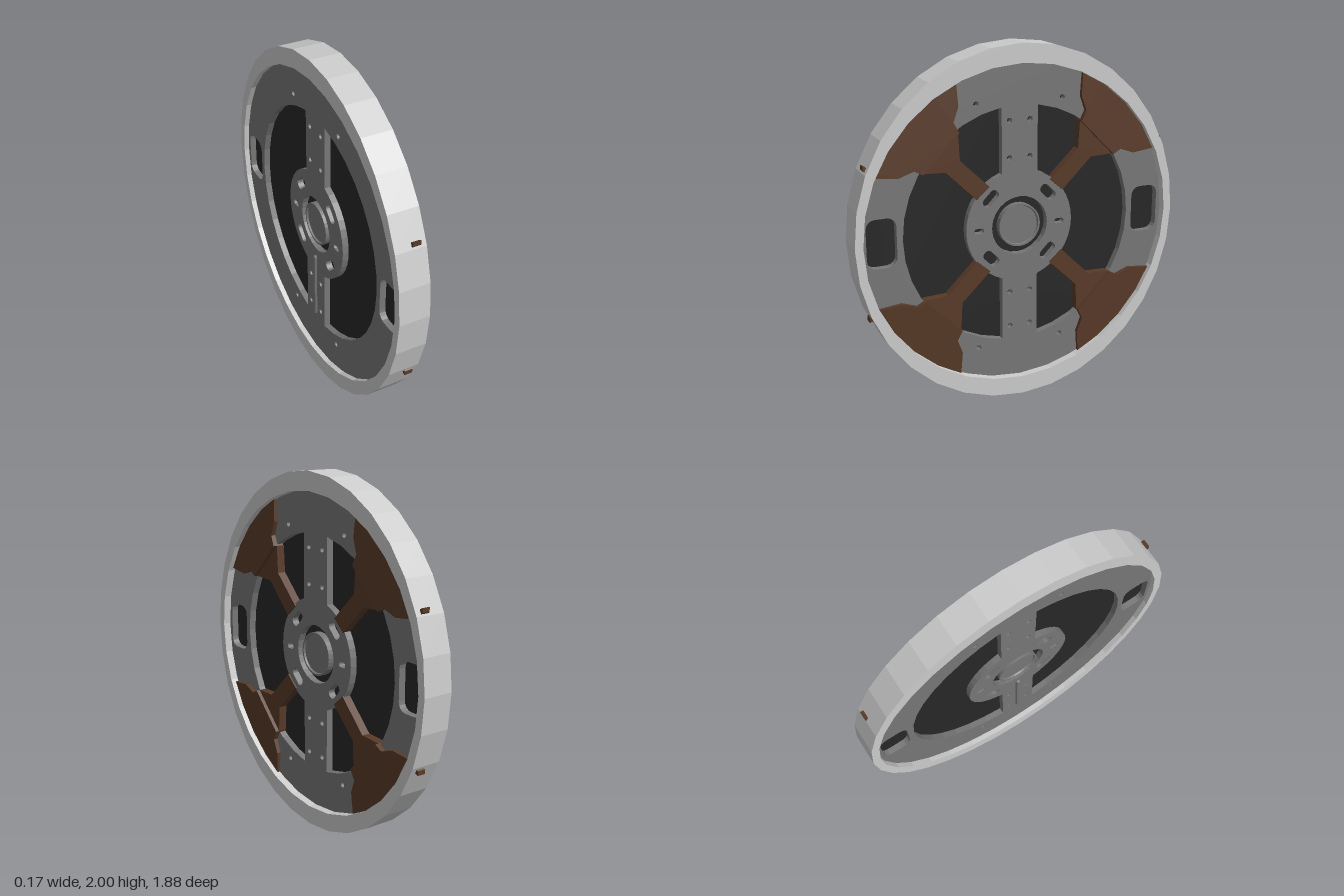
import * as THREE from 'three';

const grey = (color) => new THREE.MeshStandardMaterial({ color, flatShading: true });
const rimMat = grey(0xcccccc), plateMat = grey(0x777777), darkMat = grey(0x272727), brownMat = grey(0x583a28);
const PLATE_FRONT = 0.04, PLATE_BACK = -0.06;

// Extrude a wheel-plane outline between two positions along the axle.
function slab(shape, back, front, segments = 12) {
  const geo = new THREE.ExtrudeGeometry(shape, { depth: front - back, bevelEnabled: false, curveSegments: segments });
  return geo.translate(0, 0, back);
}

function circle(r, cx = 0, cy = 0, Type = THREE.Path) {
  return new Type().absarc(cx, cy, r, 0, Math.PI * 2, false);
}

// Rounded rectangle outline, turned about its own centre.
function roundedSlot(cx, cy, w, h, r, turn = 0) {
  const pts = [];
  const corners = [[1, 1], [-1, 1], [-1, -1], [1, -1]];
  corners.forEach(([sx, sy], i) => {
    for (let k = 0; k <= 4; k++) {
      const a = (i + k / 4) * Math.PI / 2;
      const p = new THREE.Vector2(sx * (w / 2 - r) + r * Math.cos(a), sy * (h / 2 - r) + r * Math.sin(a));
      pts.push(p.rotateAround(new THREE.Vector2(), turn).add(new THREE.Vector2(cx, cy)));
    }
  });
  return new THREE.Path(pts);
}

// D-shaped window between the spoke, the hub and the outer band.
function windowHole(side) {
  const outer = Math.acos(0.105 / 0.67), inner = Math.acos(0.105 / 0.315);
  const pts = [];
  for (let i = 0; i <= 16; i++) {
    const a = outer * (1 - i / 8);
    pts.push(new THREE.Vector2(side * 0.67 * Math.cos(a), 0.67 * Math.sin(a)));
  }
  for (let i = 0; i <= 16; i++) {
    const a = inner * (i / 8 - 1);
    pts.push(new THREE.Vector2(side * 0.315 * Math.cos(a), 0.315 * Math.sin(a)));
  }
  return new THREE.Path(pts);
}

function plateShape() {
  const shape = circle(0.9, 0, 0, THREE.Shape);
  shape.holes.push(circle(0.165));
  for (const s of [1, -1]) {
    shape.holes.push(windowHole(s));
    shape.holes.push(roundedSlot(s * 0.785, 0, 0.165, 0.27, 0.05));
    shape.holes.push(roundedSlot(s * 0.24, -0.005, 0.055, 0.03, 0.014));
    for (const t of [1, -1]) {
      shape.holes.push(roundedSlot(s * 0.17, t * 0.17, 0.105, 0.055, 0.022, -s * t * Math.PI / 4));
      shape.holes.push(circle(0.015, s * 0.06, t * 0.385));
      shape.holes.push(circle(0.015, s * 0.06, t * 0.588));
      shape.holes.push(circle(0.015, s * 0.25, t * 0.69));
    }
  }
  return shape;
}

const outline = (pts, sx, sy) => new THREE.Shape(pts.map(([x, y]) => new THREE.Vector2(sx * x, sy * y)));

const ARM = [[0.356, 0.553], [0.56, 0.35], [0.428, 0.345], [0.255, 0.175], [0.18, 0.24], [0.347, 0.4]];

// Corner pad: notched inner edge, arc along the rim, small tip through the rim.
function padPoints() {
  const pts = [[0.356, 0.553], [0.385, 0.61], [0.356, 0.69], [0.365, 0.825]];
  for (let i = 0; i <= 5; i++) {
    const a = THREE.MathUtils.degToRad(65 - i * 7.8);
    pts.push([0.905 * Math.cos(a), 0.905 * Math.sin(a)]);
  }
  pts.push([0.87, 0.425], [0.87, 0.4], [0.83, 0.36], [0.69, 0.345], [0.605, 0.375], [0.56, 0.35]);
  return pts;
}

// The pad is highest at its step and slopes down to the rim.
function padGeometry(sx, sy) {
  const geo = slab(outline(padPoints(), sx, sy), 0.005, 0.07);
  const pos = geo.attributes.position;
  for (let i = 0; i < pos.count; i++) {
    if (pos.getZ(i) < 0.03) continue;
    const d = (Math.abs(pos.getX(i)) + Math.abs(pos.getY(i))) / Math.SQRT2;
    pos.setZ(i, 0.07 - 0.07 * (d - 0.643));
  }
  geo.computeVertexNormals();
  return geo;
}

export function createModel() {
  const model = new THREE.Group();
  model.name = 'wheel';
  // Outlines are drawn in XY and turned so the axle lies along x.
  const wheel = new THREE.Group();
  wheel.name = 'wheelParts';
  wheel.rotation.y = Math.PI / 2;
  wheel.position.y = 1;
  model.add(wheel);
  const add = (name, geo, mat) => {
    const mesh = new THREE.Mesh(geo, mat);
    mesh.name = name;
    wheel.add(mesh);
    return mesh;
  };

  // Rim: slightly oval outside, round inside
  const rim = new THREE.Shape().absellipse(0, 0, 0.94, 1, 0, Math.PI * 2, false, 0);
  rim.holes.push(circle(0.895));
  add('rim', slab(rim, -0.09, 0.085, 16), rimMat);

  // Spoked plate and the dark panel inside it
  add('spokePlate', slab(plateShape(), PLATE_BACK, PLATE_FRONT), plateMat);
  add('innerPanel', slab(circle(0.89, 0, 0, THREE.Shape), -0.025, 0.0), darkMat);

  // Hub cap: a lipped drum in the bore
  const lip = [[0, -0.05], [0.108, -0.05], [0.112, -0.06], [0.122, -0.06], [0.122, 0.04], [0.112, 0.04], [0.108, 0.03], [0, 0.03]];
  const cap = new THREE.LatheGeometry(lip.map(([r, y]) => new THREE.Vector2(r, y)), 32);
  add('hubCap', cap.rotateX(Math.PI / 2), plateMat);

  // Rib on the back of the lower spoke
  const rib = add('backRib', new THREE.CapsuleGeometry(0.015, 0.4, 4, 8), plateMat);
  rib.position.set(0, -0.43, PLATE_BACK);

  // Four brown arms with their corner pads
  for (const sx of [1, -1]) {
    for (const sy of [1, -1]) {
      const place = (sy > 0 ? 'upper' : 'lower') + (sx > 0 ? 'Back' : 'Front');
      add(place + 'Arm', slab(outline(ARM, sx, sy), 0, 0.048), brownMat);
      add(place + 'Pad', padGeometry(sx, sy), brownMat);
    }
  }
  return model;
}
